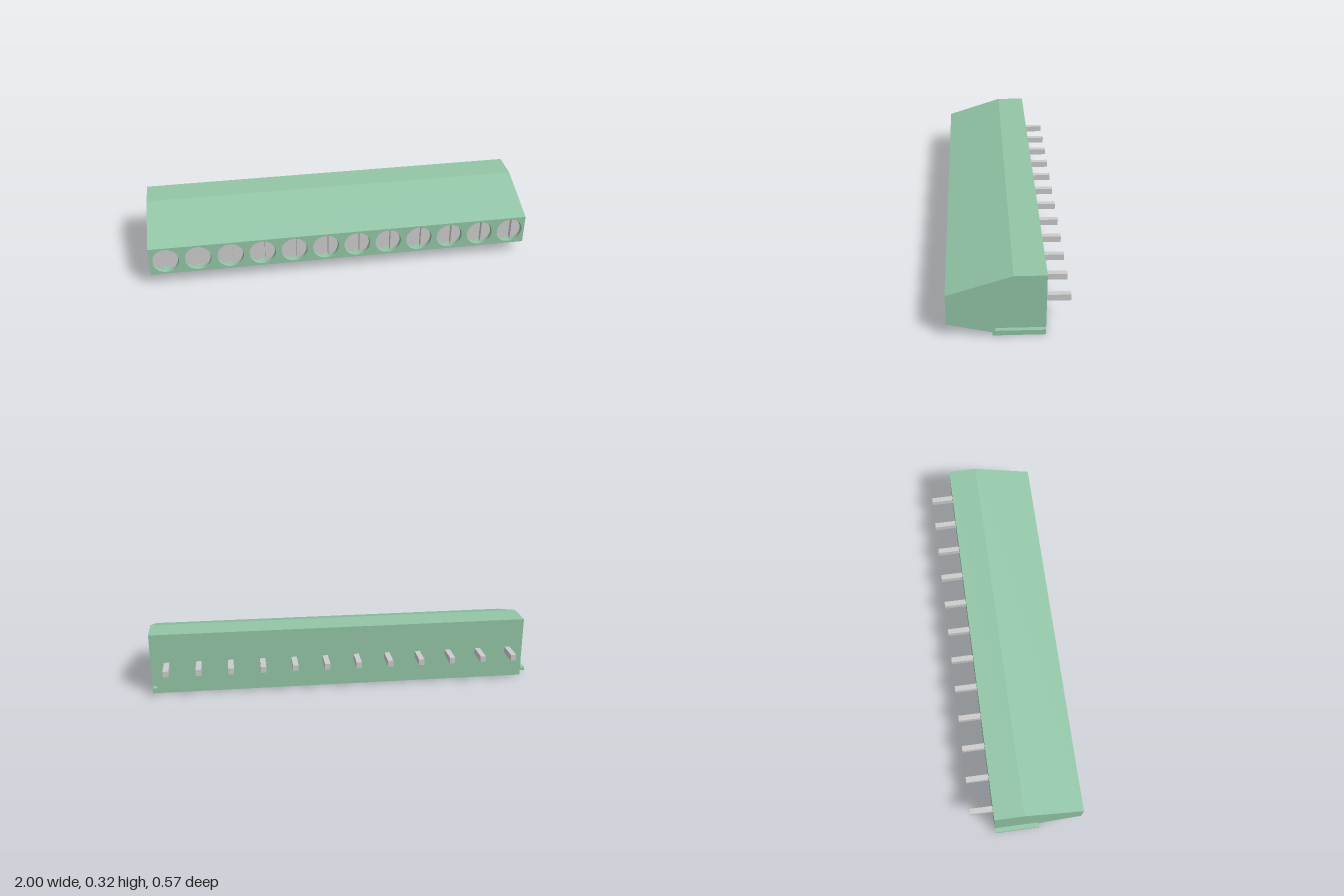
import * as THREE from 'three';

const X0 = -0.976, X1 = 0.998, COUNT = 12, PITCH = (X1 - X0) / COUNT;
const ZB = -0.168, ZF = 0.285;
// side profile as [z, y], running up the front, over the top and back under
const PROFILE = [[ZF, 0.068], [ZF, 0.224], [-0.018, 0.323], [ZB, 0.323], [ZB, 0], [0.075, 0], [0.075, 0.018]];
// slot in the left end which takes the neighbour's rib
const SLOT = { x: 0.974, z: 0.062, y0: 0.026, y1: 0.042 };
const HOLE_R = 0.068, HOLE_Y = 0.147, HOLE_Z = 0.22;

const green = new THREE.MeshStandardMaterial({ color: 0x92c5a6 });
const grey = new THREE.MeshStandardMaterial({ color: 0xcccccc });

function add(parent, name, geometry, material, x = 0, y = 0, z = 0) {
  const mesh = new THREE.Mesh(geometry, material);
  mesh.name = name;
  mesh.position.set(x, y, z);
  parent.add(mesh);
  return mesh;
}

const polygon = (points) => new THREE.Shape(points.map(([u, v]) => new THREE.Vector2(u, v)));
const rect = (u0, u1, v0, v1) => polygon([[u0, v0], [u1, v0], [u1, v1], [u0, v1]]);

// flat-shaded surface from four-cornered faces
function quads(faces) {
  const pos = [];
  for (const [a, b, c, d] of faces) pos.push(...a, ...b, ...c, ...a, ...c, ...d);
  const g = new THREE.BufferGeometry();
  g.setAttribute('position', new THREE.Float32BufferAttribute(pos, 3));
  g.computeVertexNormals();
  return g;
}

// walls joining two matching loops of points
const walls = (a, b) => a.map((p, i) => {
  const j = (i + 1) % a.length;
  return [p, a[j], b[j], b[i]];
});

function buildHousing(centres) {
  const housing = new THREE.Group();
  housing.name = 'housing';

  // plain faces along the length
  const plain = [0, 1, 2, 5, 6].map((i) => {
    const [z0, y0] = PROFILE[i], [z1, y1] = PROFILE[(i + 1) % PROFILE.length];
    return [[X0, y0, z0], [X1, y0, z0], [X1, y1, z1], [X0, y1, z1]];
  });
  add(housing, 'longFaces', quads(plain.slice(1)), green);

  // front face with round screw holes
  const front = rect(X0, X1, 0.068, 0.224);
  for (const x of centres) front.holes.push(new THREE.Path().absarc(x, HOLE_Y, HOLE_R, 0, Math.PI * 2, true));
  add(housing, 'frontFace', new THREE.ShapeGeometry(front, 16), green, 0, 0, ZF);

  // underside with wire openings
  const bottom = rect(X0, X1, ZB, 0.075);
  for (const x of centres) bottom.holes.push(rect(x - 0.058, x + 0.058, -0.13, 0.05));
  add(housing, 'underside', new THREE.ShapeGeometry(bottom).rotateX(Math.PI / 2), green);

  // back face, notched where the slot runs out
  const back = polygon([[-X0, 0], [-X0, 0.323], [-X1, 0.323], [-X1, SLOT.y1], [-SLOT.x, SLOT.y1],
    [-SLOT.x, SLOT.y0], [-X1, SLOT.y0], [-X1, 0]]);
  add(housing, 'backFace', new THREE.ShapeGeometry(back).rotateY(Math.PI), green, 0, 0, ZB);

  // ends
  add(housing, 'rightEnd', new THREE.ShapeGeometry(polygon(PROFILE)).rotateY(-Math.PI / 2), green, X0);
  const notched = [...PROFILE];
  notched.splice(4, 0, [ZB, SLOT.y1], [SLOT.z, SLOT.y1], [SLOT.z, SLOT.y0], [ZB, SLOT.y0]);
  const leftEnd = polygon(notched.map(([z, y]) => [-z, y]));
  add(housing, 'leftEnd', new THREE.ShapeGeometry(leftEnd).rotateY(Math.PI / 2), green, X1);

  // slot walls
  const { x, z, y0, y1 } = SLOT;
  add(housing, 'slot', quads([
    [[x, y0, z], [x, y0, ZB], [x, y1, ZB], [x, y1, z]],
    [[x, y0, ZB], [x, y0, z], [X1, y0, z], [X1, y0, ZB]],
    [[x, y1, z], [x, y1, ZB], [X1, y1, ZB], [X1, y1, z]],
    [[X1, y0, z], [x, y0, z], [x, y1, z], [X1, y1, z]],
  ]), green);

  // rib on the right end
  add(housing, 'rib', new THREE.BoxGeometry(0.024, 0.016, SLOT.z - ZB), green, X0 - 0.012, 0.034, (SLOT.z + ZB) / 2);
  return housing;
}

// tapered wire opening going up from the underside
function wireFunnel() {
  const ring = (w, z0, z1, y) => [[-w, y, z0], [w, y, z0], [w, y, z1], [-w, y, z1]];
  const mouth = ring(0.058, -0.13, 0.05, 0);
  const throat = ring(0.028, -0.075, -0.005, 0.1);
  const top = ring(0.028, -0.075, -0.005, 0.16);
  return quads([...walls(mouth, throat), ...walls(throat, top), top]);
}

// wall of a round screw hole, facing inward
function screwHole() {
  const circle = (z) => Array.from({ length: 32 }, (_, i) => {
    const a = (i / 32) * Math.PI * 2;
    return [HOLE_R * Math.cos(a), HOLE_R * Math.sin(a), z];
  });
  return quads(walls(circle(HOLE_Z), circle(ZF)).map(([a, b, c, d]) => [a, d, c, b]));
}

// one half of the slotted screw head
function screwHalf() {
  const r = 0.064, a = Math.acos(0.014 / r);
  const shape = new THREE.Shape().absarc(0, 0, r, -a, a, false);
  shape.closePath();
  return new THREE.ExtrudeGeometry(shape, { depth: 0.025, bevelEnabled: false, curveSegments: 20 });
}

export function createModel() {
  const model = new THREE.Group();
  model.name = 'terminalBlock';
  const centres = Array.from({ length: COUNT }, (_, i) => X0 + PITCH * (i + 0.5));
  model.add(buildHousing(centres));

  const funnel = wireFunnel(), hole = screwHole(), half = screwHalf();
  const holeFloor = new THREE.CircleGeometry(HOLE_R, 32);
  const screwBase = new THREE.CylinderGeometry(0.064, 0.064, 0.025, 32).rotateX(Math.PI / 2);
  const pin = new THREE.BoxGeometry(0.028, 0.032, 0.125);

  for (const x of centres) {
    const pole = new THREE.Group();
    pole.name = 'pole';
    pole.position.x = x;
    model.add(pole);
    add(pole, 'wireFunnel', funnel, green);
    add(pole, 'screwHole', hole, green, 0, HOLE_Y);
    add(pole, 'screwHoleFloor', holeFloor, green, 0, HOLE_Y, HOLE_Z);
    add(pole, 'screwBase', screwBase, grey, 0, HOLE_Y, HOLE_Z + 0.0125);
    add(pole, 'screwHeadHalf', half, grey, 0, HOLE_Y, HOLE_Z + 0.025);
    add(pole, 'screwHeadHalf', half, grey, 0, HOLE_Y, HOLE_Z + 0.025).rotation.z = Math.PI;
    add(pole, 'pin', pin, grey, 0, 0.153, -0.2225);
  }
  return model;
}
